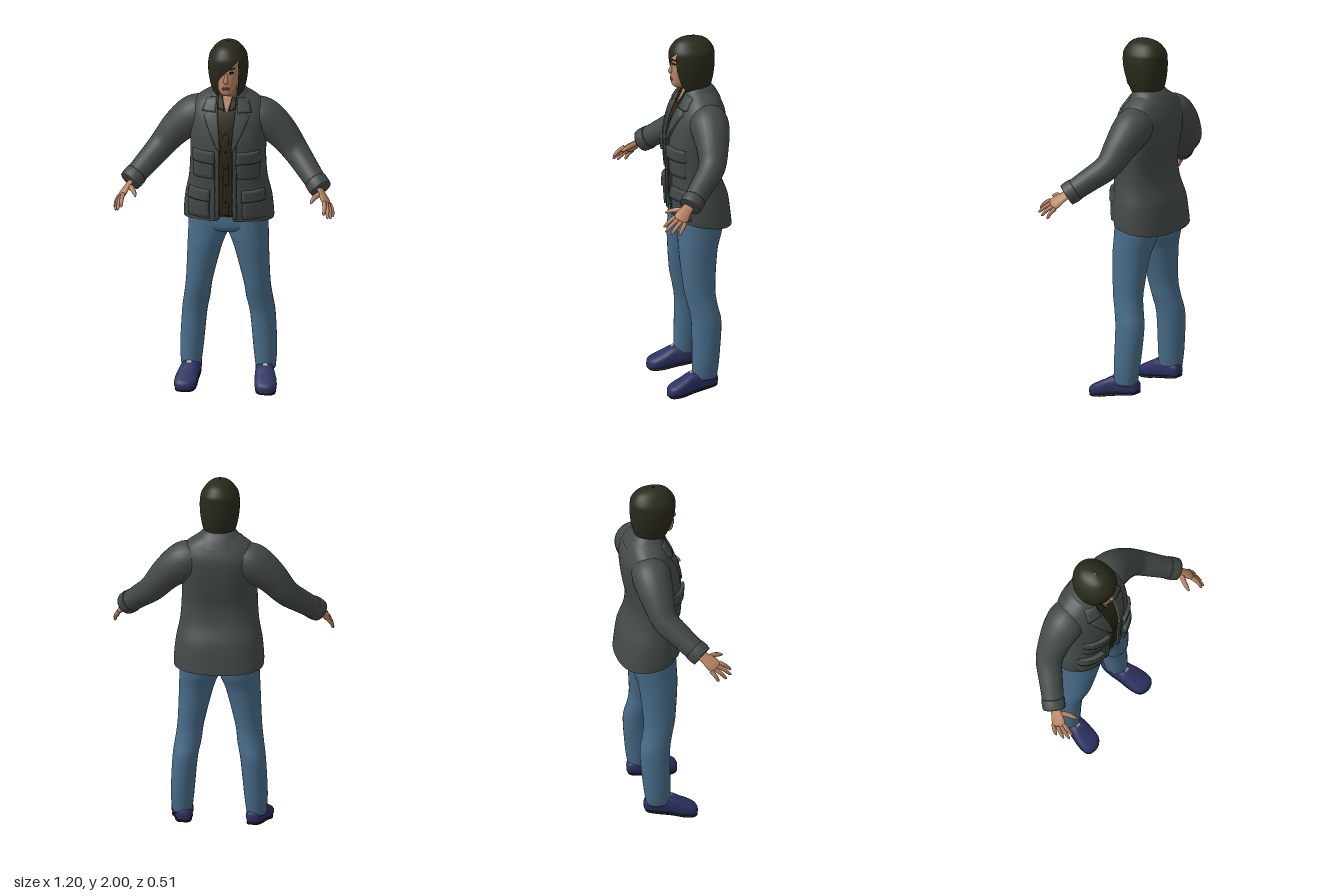
import * as THREE from 'three';

const V = (x, y, z) => new THREE.Vector3(x, y, z);
const mat = (name, color, side = THREE.FrontSide) => {
  const m = new THREE.MeshStandardMaterial({ color, side });
  m.name = name;
  return m;
};

// Skin a list of rings; closed rings wrap round, caps fill both ends
function loft(rings, closed = true, caps = true) {
  const n = rings[0].length, pos = [], idx = [];
  rings.forEach(r => r.forEach(p => pos.push(p.x, p.y, p.z)));
  for (let i = 0; i < rings.length - 1; i++)
    for (let j = 0; j < (closed ? n : n - 1); j++) {
      const k = (j + 1) % n, a = i * n + j, b = i * n + k;
      idx.push(a, b, b + n, a, b + n, a + n);
    }
  if (caps) [0, rings.length - 1].forEach((i, end) => {
    const c = rings[i].reduce((s, p) => s.add(p), V(0, 0, 0)).divideScalar(n);
    const ci = pos.length / 3;
    pos.push(c.x, c.y, c.z);
    for (let j = 0; j < n; j++) {
      const a = i * n + j, b = i * n + (j + 1) % n;
      end ? idx.push(ci, a, b) : idx.push(ci, b, a);
    }
  });
  const g = new THREE.BufferGeometry();
  g.setAttribute('position', new THREE.Float32BufferAttribute(pos, 3));
  g.setIndex(idx);
  g.computeVertexNormals();
  return g;
}

// Catmull-Rom refinement of rows of numbers
function refine(rows, n = 4) {
  const out = [];
  for (let i = 0; i < rows.length - 1; i++) {
    const a = rows[Math.max(i - 1, 0)], b = rows[i], c = rows[i + 1], d = rows[Math.min(i + 2, rows.length - 1)];
    for (let k = 0; k < n; k++) {
      const t = k / n;
      out.push(b.map((_, q) => 0.5 * (2 * b[q] + (c[q] - a[q]) * t + (2 * a[q] - 5 * b[q] + 4 * c[q] - d[q]) * t * t
        + (3 * b[q] - a[q] - 3 * c[q] + d[q]) * t * t * t)));
    }
  }
  out.push(rows[rows.length - 1]);
  return out;
}

const spow = (v, p) => Math.sign(v) * Math.abs(v) ** p;

// Upright body; row = [y, halfWidth, zFront, zBack, centreX, gapRightX, gapLeftX]
function body(rows, { p = 0.85, seg = 40, gap = false, caps = !gap } = {}) {
  const rings = refine(rows).map(([y, rx, zf, zb, cx = 0, gR = 0, gL = 0]) => {
    const ang = x => Math.asin(spow(THREE.MathUtils.clamp(x / rx, -1, 1), 1 / p));
    const a0 = gap ? ang(gL) : 0, a1 = 2 * Math.PI + (gap ? ang(Math.min(gR, gL)) : 0);
    return Array.from({ length: gap ? seg + 1 : seg }, (_, j) => {
      const a = a0 + (a1 - a0) * j / seg;
      return V(cx + rx * spow(Math.sin(a), p), y, (zf + zb) / 2 + (zf - zb) / 2 * spow(Math.cos(a), p));
    });
  });
  return loft(rings, !gap, caps);
}

// Depth of the front surface of a body at x, y
function frontOf(rows, p = 0.85) {
  const fine = refine(rows);
  return (x, y) => {
    let i = fine.findIndex(r => r[0] >= y);
    i = i < 0 ? fine.length - 1 : Math.max(i, 1);
    const a = fine[i - 1], b = fine[i], t = THREE.MathUtils.clamp((y - a[0]) / (b[0] - a[0]), 0, 1);
    const [, rx, zf, zb] = a.map((v, q) => v + (b[q] - v) * t);
    const s = Math.min(Math.abs(x / rx), 0.995) ** (1 / p);
    return (zf + zb) / 2 + (zf - zb) / 2 * Math.sqrt(1 - s * s) ** p;
  };
}

// Thin panel hugging a surface; corners run bottom left, bottom right, top right, top left
function patch(surf, [bl, br, tr, tl], t, n = 8) {
  const rings = [];
  const mix = (a, b, k) => a + (b - a) * k;
  for (let j = 0; j <= n; j++) {
    const row = [], v = THREE.MathUtils.clamp((j - 1) / (n - 2), 0, 1);
    for (let i = 0; i <= n; i++) {
      const u = THREE.MathUtils.clamp((i - 1) / (n - 2), 0, 1);
      const x = mix(mix(bl[0], br[0], u), mix(tl[0], tr[0], u), v);
      const y = mix(mix(bl[1], br[1], u), mix(tl[1], tr[1], u), v);
      const rim = i === 0 || j === 0 || i === n || j === n;
      row.push(V(x, y, surf(x, y) + (rim ? Math.min(t, 0) - 0.004 : t)));
    }
    rings.push(row);
  }
  return loft(rings, false, false);
}
const rect = (x0, x1, y0, y1) => [[x0, y0], [x1, y0], [x1, y1], [x0, y1]];

// Limb along points [x, y, z, radius]; flat squashes it across the ref direction
function limb(pts, { ref = V(0, 0, 1), flat = 1, seg = 16, n = 4 } = {}) {
  const path = refine(pts, n);
  return loft(path.map((q, i) => {
    const a = path[Math.max(i - 1, 0)], b = path[Math.min(i + 1, path.length - 1)];
    const d = V(b[0] - a[0], b[1] - a[1], b[2] - a[2]).normalize();
    const u = ref.clone().addScaledVector(d, -ref.dot(d)).normalize(), w = d.clone().cross(u);
    return Array.from({ length: seg }, (_, j) => {
      const t = j / seg * 2 * Math.PI;
      return V(q[0], q[1], q[2]).addScaledVector(u, q[3] * Math.cos(t)).addScaledVector(w, q[3] * flat * Math.sin(t));
    });
  }));
}

function mirror(g) {
  const m = g.clone().scale(-1, 1, 1), ix = m.index.array;
  for (let i = 0; i < ix.length; i += 3) [ix[i], ix[i + 1]] = [ix[i + 1], ix[i]];
  m.computeVertexNormals();
  return m;
}

export function createModel() {
  const root = new THREE.Group();
  root.name = 'standingPerson';
  const D = THREE.DoubleSide;
  const skin = mat('skin', 0xb98464), hair = mat('darkHair', 0x2a291c, D), coat = mat('greyGreenCloth', 0x434a47, D);
  const shirtM = mat('brownShirt', 0x2c2719, D), denim = mat('blueDenim', 0x486c89), navy = mat('navyShoe', 0x2c3162);
  const black = mat('blackDetail', 0x17171a), cream = mat('creamTrim', 0xb5ae9c, D), lip = mat('lip', 0x8d574b, D);
  const add = (name, g, m) => {
    const mesh = new THREE.Mesh(g, m);
    mesh.name = name;
    root.add(mesh);
  };
  const pair = (name, g, m) => { add(name + 'Left', g, m); add(name + 'Right', mirror(g), m); };

  // Jacket body, open down the front, hem dropping towards the back
  const coatRows = [
    [0.96, 0.245, 0.068, -0.255], [1.0, 0.245, 0.073, -0.25], [1.1, 0.235, 0.08, -0.235], [1.2, 0.215, 0.08, -0.2],
    [1.3, 0.207, 0.088, -0.19], [1.4, 0.206, 0.095, -0.208], [1.5, 0.21, 0.08, -0.222], [1.58, 0.21, 0.052, -0.222],
    [1.64, 0.185, 0.02, -0.2], [1.68, 0.135, -0.002, -0.18], [1.71, 0.085, -0.01, -0.15],
  ].map(r => [...r, 0, r[0] > 1.55 ? -0.055 : -0.045, r[0] > 1.55 ? 0.055 : 0.042]);
  const jacket = body(coatRows, { gap: true, seg: 56 });
  const jp = jacket.attributes.position;
  for (let i = 0; i < jp.count; i++) {
    const w = Math.max(0, (1.1 - jp.getY(i)) / 0.14);
    jp.setY(i, jp.getY(i) + w * 0.14 * (jp.getZ(i) + 0.1));
  }
  jacket.computeVertexNormals();
  add('jacketBody', jacket, coat);
  const chest = frontOf(coatRows);

  // Collar, lapels, plackets and pockets
  add('collar', body([[1.645, 0.14, 0.022, -0.203], [1.69, 0.112, 0.008, -0.178], [1.725, 0.08, -0.01, -0.145], [1.70, 0.07, -0.015, -0.13]]
    .map(r => [...r, 0, -0.05, 0.05]), { gap: true }), coat);
  pair('lapel', patch(chest, [[0.028, 1.4], [0.048, 1.42], [0.125, 1.59], [0.052, 1.655]], 0.014), coat);
  pair('collarPoint', patch(chest, [[0.06, 1.615], [0.135, 1.615], [0.115, 1.675], [0.055, 1.69]], 0.016), coat);
  pair('placket', patch(chest, rect(0.036, 0.06, 1.0, 1.44), 0.008), coat);
  pair('chestPocket', patch(chest, rect(0.062, 0.18, 1.24, 1.37), 0.012), coat);
  pair('chestFlap', patch(chest, [[0.057, 1.335], [0.186, 1.335], [0.183, 1.4], [0.06, 1.4]], 0.022), coat);
  pair('hipPocket', patch(chest, rect(0.09, 0.212, 1.005, 1.15), 0.016), coat);
  pair('hipFlap', patch(chest, [[0.085, 1.11], [0.214, 1.11], [0.205, 1.17], [0.088, 1.17]], 0.026), coat);

  // Shirt with collar, placket and small buttons
  add('shirt', body([...coatRows.slice(1, 10)].map(([y, rx, zf, zb]) => [y + 0.01, rx - 0.025, zf - 0.012, zb + 0.03])), shirtM);
  add('shirtPlacket', patch(chest, rect(-0.014, 0.014, 1.02, 1.62), -0.006), shirtM);
  pair('shirtCollar', patch(chest, [[0.012, 1.62], [0.045, 1.63], [0.052, 1.71], [0.026, 1.69]], 0.006), shirtM);
  add('neckline', patch(chest, [[-0.004, 1.615], [0.004, 1.615], [0.03, 1.69], [-0.03, 1.69]], 0.001), skin);
  for (let y = 1.1; y < 1.6; y += 0.1)
    add('shirtButton', new THREE.SphereGeometry(0.005, 8, 6).translate(0, y, chest(0, y) - 0.005), black);

  // Sleeves and cuffs
  pair('sleeve', limb([[0.1, 1.565, -0.1, 0.09], [0.17, 1.548, -0.1, 0.107], [0.23, 1.51, -0.098, 0.102], [0.295, 1.45, -0.09, 0.088],
    [0.365, 1.365, -0.068, 0.073], [0.44, 1.29, 0.008, 0.064], [0.518, 1.213, 0.092, 0.057]], { seg: 24 }), coat);
  pair('cuff', limb([[0.488, 1.243, 0.06, 0.063], [0.505, 1.227, 0.078, 0.064], [0.522, 1.211, 0.096, 0.061]], { seg: 24 }), coat);

  // Hands: flattened palm, four fanned fingers and a thumb
  const spread = V(-0.35, 0.35, 0.9);
  pair('palm', limb([[0.505, 1.225, 0.08, 0.026], [0.53, 1.195, 0.118, 0.032], [0.55, 1.167, 0.148, 0.04], [0.563, 1.15, 0.165, 0.034]],
    { ref: spread, flat: 0.42 }), skin);
  const tips = [[0.553, 1.12, 0.25], [0.574, 1.1, 0.246], [0.588, 1.088, 0.217], [0.597, 1.083, 0.172]];
  tips.forEach(([x, y, z], i) => {
    const k = i / 3, b = [0.548 + 0.026 * k, 1.172 - 0.032 * k, 0.186 - 0.052 * k], at = t => [b[0] + (x - b[0]) * t, b[1] + (y - b[1]) * t, b[2] + (z - b[2]) * t];
    const mid = at(0.5);
    pair('finger', limb([[...b, 0.012], [mid[0] + 0.003, mid[1] + 0.005, mid[2], 0.011], [...at(0.88), 0.008], [x, y, z, 0.003]], { seg: 8 }), skin);
  });
  pair('thumb', limb([[0.525, 1.197, 0.125, 0.016], [0.498, 1.192, 0.168, 0.014], [0.485, 1.183, 0.2, 0.011], [0.478, 1.174, 0.222, 0.004]],
    { ref: V(1, 0, 0), seg: 8 }), skin);

  // Jeans: two legs and the seat
  pair('trouserLeg', body([
    [0.09, 0.054, 0.0, -0.135, 0.203], [0.2, 0.064, 0.0, -0.15, 0.2], [0.4, 0.069, 0.0, -0.165, 0.186], [0.5, 0.072, 0.016, -0.147, 0.17],
    [0.6, 0.073, 0.037, -0.138, 0.157], [0.8, 0.094, 0.055, -0.157, 0.128], [0.9, 0.11, 0.056, -0.185, 0.109], [1.02, 0.108, 0.05, -0.2, 0.108],
  ], { p: 0.95, seg: 28 }), denim);
  add('trouserSeat', body([[0.895, 0.05, 0.0, -0.12], [0.92, 0.14, 0.045, -0.17], [0.96, 0.205, 0.057, -0.2], [1.04, 0.21, 0.05, -0.2]]), denim);

  // Slip-on shoes; row = [z, centreX, halfWidth, bottom, top]
  const shoeRows = [[-0.143, 0.19, 0.012, 0.055, 0.09], [-0.132, 0.19, 0.034, 0.042, 0.112], [-0.08, 0.195, 0.048, 0.033, 0.128], [0, 0.205, 0.053, 0.02, 0.128],
    [0.06, 0.215, 0.061, 0.008, 0.098], [0.11, 0.221, 0.058, 0.003, 0.072], [0.135, 0.224, 0.04, 0.004, 0.057], [0.145, 0.225, 0.012, 0.012, 0.04]];
  const shoeLoft = (p, fit) => loft(refine(shoeRows).map(r => {
    const [z, cx, w, y0, y1] = fit(r);
    return Array.from({ length: 24 }, (_, j) => {
      const a = j / 24 * 2 * Math.PI;
      return V(cx + w * spow(Math.cos(a), p), (y0 + y1) / 2 + (y1 - y0) / 2 * spow(Math.sin(a), p), z);
    });
  }));
  pair('shoe', shoeLoft(0.75, r => r), navy);
  pair('shoeSole', shoeLoft(0.5, ([z, cx, w, y0]) => [z, cx, w * 0.93, Math.max(0, y0 - 0.003), y0 + 0.012]), black);
  pair('shoeTongue', new THREE.BoxGeometry(0.026, 0.026, 0.008).rotateX(-0.7).translate(0.208, 0.122, 0.008), cream);

  // Neck, head and face
  add('neck', limb([[0, 1.6, -0.075, 0.06], [0, 1.68, -0.06, 0.05], [0, 1.78, -0.045, 0.048]], { ref: V(1, 0, 0), seg: 20 }), skin);
  const headRows = [[1.713, 0.02, 0.045, 0.0], [1.725, 0.036, 0.06, -0.04], [1.75, 0.051, 0.066, -0.08], [1.8, 0.063, 0.067, -0.12],
    [1.85, 0.068, 0.063, -0.13], [1.9, 0.067, 0.058, -0.13], [1.95, 0.05, 0.03, -0.1]];
  add('head', body(headRows), skin);
  const face = frontOf(headRows);
  add('nose', limb([[0, 1.855, 0.057, 0.006], [0, 1.825, 0.066, 0.009], [0, 1.805, 0.07, 0.013], [0, 1.795, 0.064, 0.008]], { ref: V(1, 0, 0), seg: 10 }), skin);
  pair('eye', patch(face, [[0.017, 1.848], [0.041, 1.85], [0.042, 1.859], [0.019, 1.86]], 0.002), black);
  pair('eyebrow', patch(face, [[0.013, 1.87], [0.047, 1.876], [0.047, 1.882], [0.013, 1.878]], 0.003), hair);
  add('upperLip', patch(face, [[-0.023, 1.764], [0.023, 1.764], [0.01, 1.773], [-0.01, 1.773]], 0.004), lip);
  add('lowerLip', patch(face, [[-0.013, 1.753], [0.013, 1.753], [0.021, 1.762], [-0.021, 1.762]], 0.004), lip);

  // Bobbed hair with a fringe swept across one side of the face
  add('hair', body([
    [1.69, 0.077, 0.015, -0.14, 0, -0.05, 0.056], [1.75, 0.096, 0.045, -0.16, 0, -0.044, 0.06], [1.81, 0.106, 0.066, -0.17, 0, -0.038, 0.064],
    [1.86, 0.109, 0.075, -0.173, 0, 0, 0.066], [1.9, 0.106, 0.077, -0.172, 0, 0.04, 0.065], [1.93, 0.098, 0.071, -0.168, 0, 0.06, 0.06],
    [1.97, 0.068, 0.043, -0.14, 0, 0, 0], [1.99, 0.038, 0.008, -0.1, 0, 0, 0], [2.0, 0.004, -0.04, -0.05, 0, 0, 0],
  ], { gap: true, p: 0.92, seg: 48 }), hair);
  return root;
}
